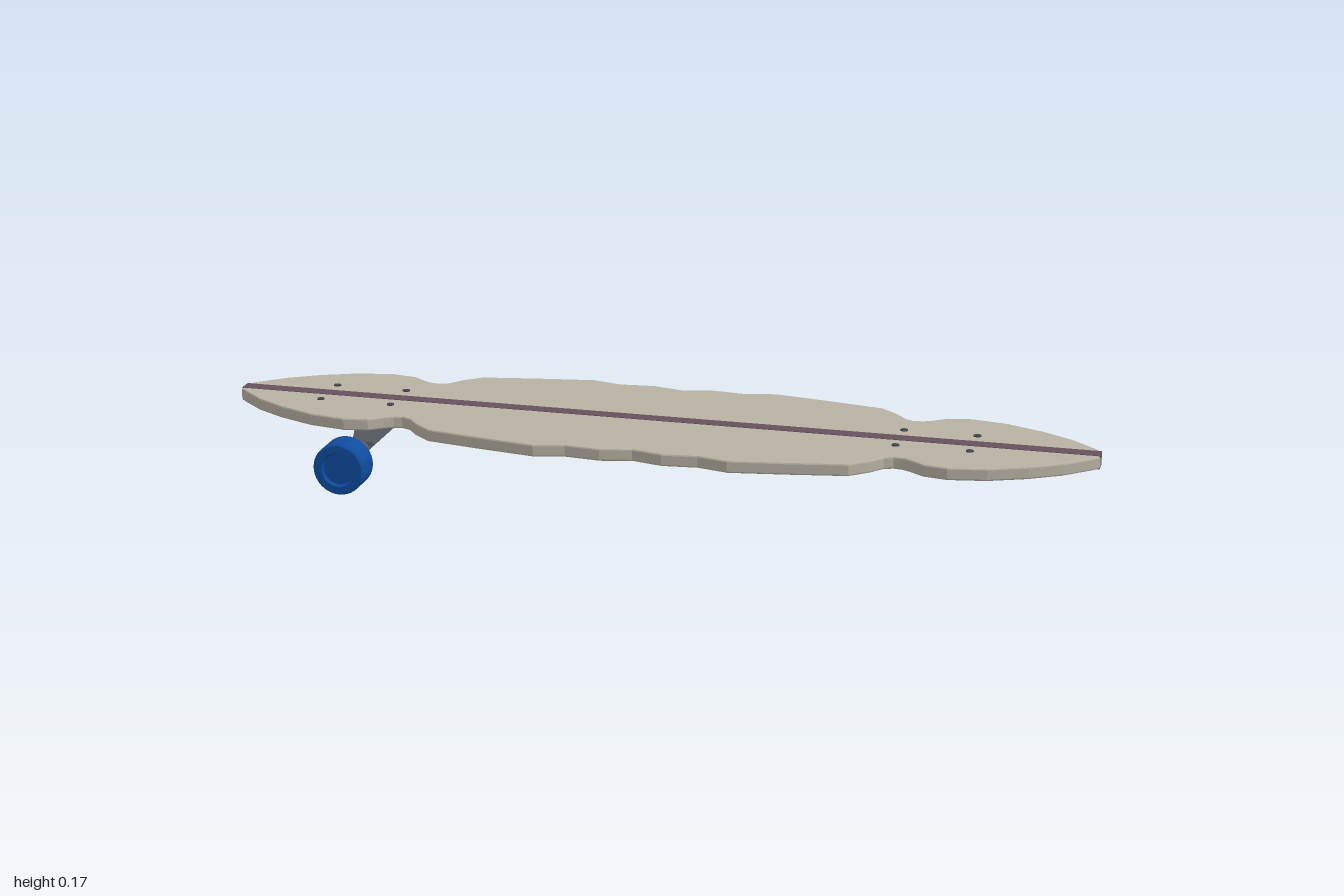
import * as THREE from 'three';
import { toCreasedNormals } from 'three/addons/utils/BufferGeometryUtils.js';

const mat = (name, color) => {
  const m = new THREE.MeshStandardMaterial({ color });
  m.name = name;
  return m;
};

export function createModel() {
  const group = new THREE.Group();
  group.name = 'longboard';
  const wood = mat('pale wood', 0xb8b2a3);
  const plum = mat('plum stripe', 0x66515e);
  const blue = mat('blue wheel', 0x0f4c9e);
  const metal = mat('grey metal', 0x5c6068);
  const dark = mat('dark metal', 0x43474d);

  const add = (name, geometry, material, x = 0, y = 0, z = 0, parent = group) => {
    const m = new THREE.Mesh(geometry, material);
    m.name = name;
    m.position.set(x, y, z);
    parent.add(m);
    return m;
  };

  // Deck: one quarter of the outline, mirrored in both directions
  const quarter = [
    [1, 0.02], [0.985, 0.036], [0.93, 0.085], [0.86, 0.127], [0.775, 0.163], [0.69, 0.178],
    [0.635, 0.168], [0.605, 0.146], [0.585, 0.135], [0.565, 0.132], [0.545, 0.141],
    [0.52, 0.172], [0.48, 0.206], [0.35, 0.23], [0.22, 0.251], [0.15, 0.234],
    [0.07, 0.242], [0, 0.225],
  ];
  const half = [...quarter, ...quarter.slice(0, -1).reverse().map(([x, z]) => [-x, z])];
  const outline = [...half, ...half.slice().reverse().map(([x, z]) => [x, -z])];
  const deckShape = new THREE.Shape(outline.map(([x, z]) => new THREE.Vector2(x, z)));
  const deck = new THREE.ExtrudeGeometry(deckShape, {
    depth: 0.021, bevelThickness: 0.004, bevelSize: 0.004, bevelOffset: -0.004, bevelSegments: 2,
  });
  deck.rotateX(-Math.PI / 2);
  add('deck', deck, wood, 0, 0.1445, 0);

  // Centre stripe runs through the whole thickness of the deck
  add('stripe', new THREE.BoxGeometry(2, 0.031, 0.034), plum, 0, 0.155, 0);

  // Deck bolts, four at each truck position
  const bolt = new THREE.CylinderGeometry(0.009, 0.009, 0.003, 8);
  for (const x of [-0.79, -0.62, 0.555, 0.72])
    for (const z of [-0.055, 0.055]) add('deckBolt', bolt, dark, x, 0.1705, z);

  // Truck
  const truck = new THREE.Group();
  truck.name = 'truck';
  truck.position.x = -0.69;
  group.add(truck);
  const part = (name, geometry, material, x, y, z) => add(name, geometry, material, x, y, z, truck);

  part('basePlate', new THREE.BoxGeometry(0.23, 0.01, 0.14), dark, 0.005, 0.135, 0.004);
  part('plateRib', new THREE.BoxGeometry(0.19, 0.006, 0.1), dark, -0.005, 0.128, 0);
  const nut = new THREE.CylinderGeometry(0.009, 0.009, 0.01, 6);
  for (const x of [-0.09, 0.08])
    for (const z of [-0.055, 0.055]) part('plateNut', nut, dark, x, 0.127, z);

  // Brackets, pivot block and kingpin between plate and hanger
  for (const z of [-0.027, 0.027])
    part('bracket', new THREE.BoxGeometry(0.07, 0.018, 0.006), dark, -0.045, 0.122, z);
  part('pivotBlock', new THREE.BoxGeometry(0.08, 0.028, 0.04), dark, -0.055, 0.111, 0);
  part('kingpin', new THREE.CylinderGeometry(0.008, 0.008, 0.042, 12), metal, 0, 0.11, 0);
  part('kingpinNut', new THREE.CylinderGeometry(0.01, 0.01, 0.012, 6).rotateZ(Math.PI / 2), metal, -0.099, 0.1, 0);

  // Hanger with sloping shoulders
  const hangerShape = new THREE.Shape([
    [-0.058, 0.066], [0.058, 0.066], [0.058, 0.075], [0.036, 0.108],
    [0.03, 0.115], [-0.03, 0.115], [-0.036, 0.108], [-0.058, 0.075],
  ].map(([z, y]) => new THREE.Vector2(z, y)));
  const hanger = new THREE.ExtrudeGeometry(hangerShape, { depth: 0.05, bevelEnabled: false });
  hanger.translate(0, 0, -0.025).rotateY(Math.PI / 2);
  part('hanger', hanger, metal, 0, 0, 0);

  // Axle
  const axle = new THREE.CylinderGeometry(0.014, 0.014, 0.355, 20).rotateX(Math.PI / 2);
  part('axle', axle, metal, 0, 0.061, -0.007);

  // Wheel with recessed faces on both sides
  const side = [[0.04, 0.035], [0.036, 0.029], [0, 0.029]];
  const profile = [
    ...side.slice().reverse().map(([r, y]) => [r, -y]),
    [0.056, -0.035], [0.06, -0.031], [0.06, 0.031], [0.056, 0.035], ...side,
  ].map(([r, y]) => new THREE.Vector2(r, y));
  const wheel = toCreasedNormals(new THREE.LatheGeometry(profile, 40), 0.5);
  wheel.rotateX(Math.PI / 2);
  part('wheel', wheel, blue, 0, 0.06, 0.187);

  return group;
}
